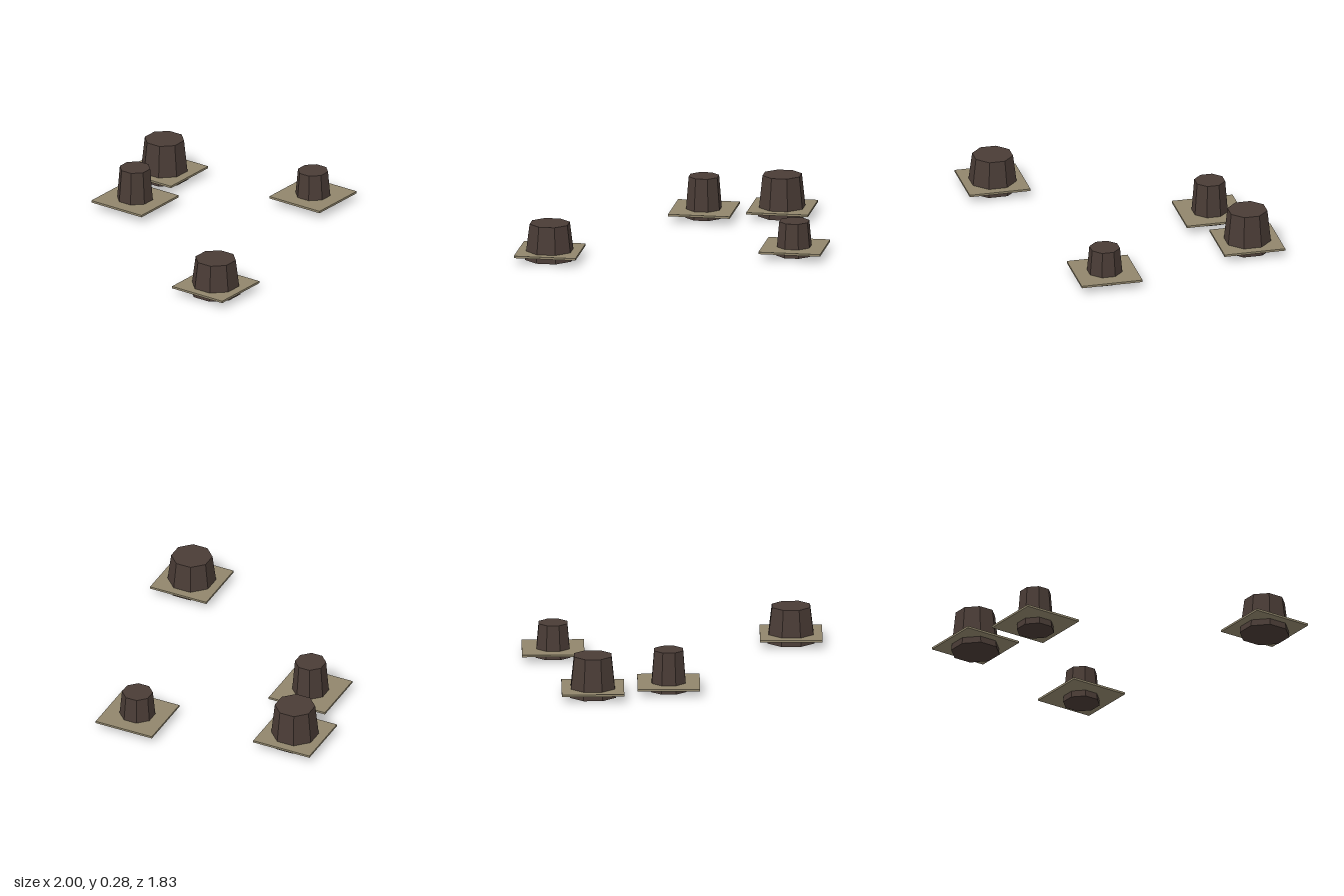
import * as THREE from 'three';

export function createModel() {
  const model = new THREE.Group();
  model.name = 'stumps';

  const bark = new THREE.MeshStandardMaterial({ color: 0x4a3c36, flatShading: true });
  bark.name = 'dark bark';
  const earth = new THREE.MeshStandardMaterial({ color: 0x91866c, flatShading: true });
  earth.name = 'dry earth';

  // x, z, height, half width across flats at the base and at the top
  const stumps = [
    [-0.793, 0.703, 0.243, 0.156, 0.127],
    [0.537, -0.709, 0.277, 0.152, 0.124],
    [0.032, -0.577, 0.28, 0.117, 0.096],
    [0.791, 0.331, 0.23, 0.115, 0.095],
  ];
  const toCorner = 1 / Math.cos(Math.PI / 8);
  const plateGeometry = new THREE.BoxGeometry(0.415, 0.014, 0.415);

  stumps.forEach(([x, z, height, base, top], i) => {
    const group = new THREE.Group();
    group.name = `stump${i + 1}`;
    group.position.set(x, 0, z);

    // Tapered eight-sided trunk, flats facing the axes
    const trunkGeometry = new THREE.CylinderGeometry(top * toCorner, base * toCorner, height, 8);
    trunkGeometry.rotateY(Math.PI / 8);
    const trunk = new THREE.Mesh(trunkGeometry, bark);
    trunk.name = 'trunk';
    trunk.position.y = height / 2;

    // Square ground plate around the trunk
    const plate = new THREE.Mesh(plateGeometry, earth);
    plate.name = 'groundPlate';
    plate.position.y = 0.052;

    group.add(trunk, plate);
    model.add(group);
  });

  return model;
}
